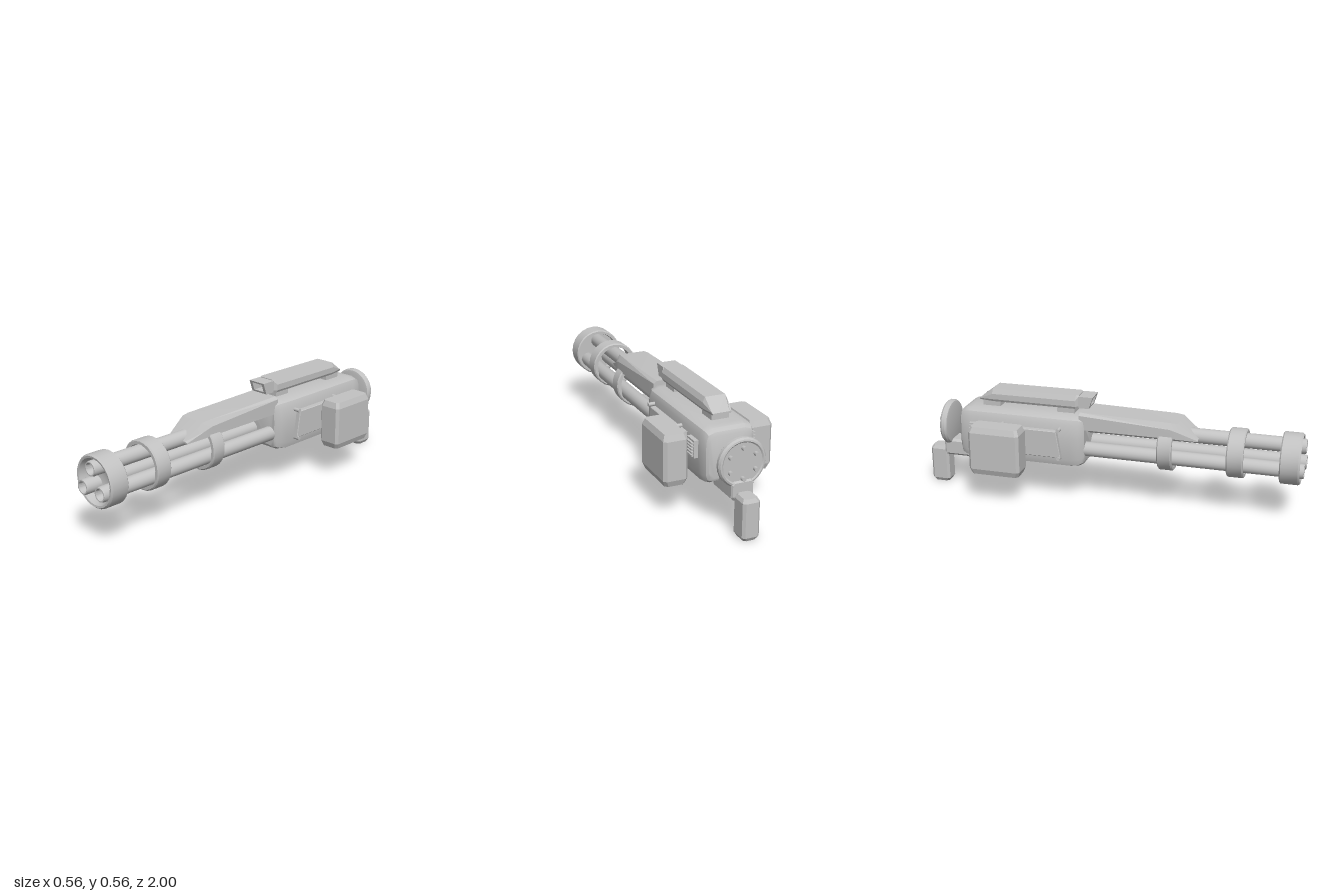
import * as THREE from 'three';
import { toCreasedNormals } from 'three/addons/utils/BufferGeometryUtils.js';

const steel = new THREE.MeshStandardMaterial({ color: 0xc2c2c2 });
steel.name = 'grey steel';

export function createModel() {
  const model = new THREE.Group();
  model.name = 'rotaryCannon';

  const add = (name, geo, x = 0, y = 0, z = 0) => {
    const m = new THREE.Mesh(geo, steel);
    m.name = name;
    m.position.set(x, y, z);
    model.add(m);
    return m;
  };

  // Skin between counter-clockwise sections [z, [[x, y], ...]] in rising z
  const loft = (sections, crease = 0.3) => {
    const pos = [];
    const rings = sections.map(([z, pts]) => pts.map(([x, y]) => [x, y, z]));
    const tri = (a, b, c) => pos.push(...a, ...b, ...c);
    const n = rings[0].length;
    for (let i = 0; i < rings.length - 1; i++) {
      const b = rings[i], f = rings[i + 1];
      for (let j = 0; j < n; j++) {
        const k = (j + 1) % n;
        tri(b[j], b[k], f[k]);
        tri(b[j], f[k], f[j]);
      }
    }
    const first = rings[0], last = rings[rings.length - 1];
    for (let j = 1; j < n - 1; j++) {
      tri(last[0], last[j], last[j + 1]);
      tri(first[0], first[j + 1], first[j]);
    }
    const g = new THREE.BufferGeometry();
    g.setAttribute('position', new THREE.Float32BufferAttribute(pos, 3));
    return toCreasedNormals(g, crease);
  };

  // Rectangle with cut corners; w and h are half sizes
  const octagon = (w, h, c, y = 0) => [
    [w, y - h + c], [w, y + h - c], [w - c, y + h], [-w + c, y + h],
    [-w, y + h - c], [-w, y - h + c], [-w + c, y - h], [w - c, y - h],
  ];
  const mirrored = (half) => [...half, ...half.slice().reverse().map(([x, y]) => [-x, y])];

  // Upright block with bevelled edges and tapered ends
  const bevelBlock = (w, height, d, c, end, inset) => loft([
    [0, octagon(w - inset, d - inset, c)], [end, octagon(w, d, c)],
    [height - end, octagon(w, d, c)], [height, octagon(w - inset, d - inset, c)],
  ]).rotateX(-Math.PI / 2);

  // Turned part along z from [radius, z] points
  const turned = (pts, seg = 24) => toCreasedNormals(
    new THREE.LatheGeometry(pts.map(([r, z]) => new THREE.Vector2(r, z)), seg).rotateX(Math.PI / 2), 0.6);

  // Three hollow barrels
  const axisY = 0.327;
  for (let i = 0; i < 3; i++) {
    const a = Math.PI / 2 + (i * Math.PI * 2) / 3;
    add('barrel', turned([[0.038, -0.2], [0.038, 0.99], [0.035, 1], [0.029, 1],
      [0.026, 0.99], [0.026, 0.85], [0, 0.85]], 20),
    Math.cos(a) * 0.072, axisY - 0.003 + Math.sin(a) * 0.072, 0);
  }

  // Dished muzzle ring and two open clamp rings
  add('muzzleRing', turned([[0, 0.9], [0.108, 0.9], [0.112, 0.882], [0.125, 0.882], [0.131, 0.888],
    [0.131, 0.973], [0.124, 0.982], [0.114, 0.98], [0.106, 0.968], [0.09, 0.935], [0.06, 0.918], [0, 0.912]]),
  0, axisY, 0);
  for (const [z0, z1] of [[0.62, 0.705], [0.27, 0.345]]) {
    add('clampRing', turned([[0.104, z0], [0.12, z0], [0.126, z0 + 0.006], [0.126, z1 - 0.006],
      [0.12, z1], [0.104, z1], [0.104, z0]]), 0, axisY, 0);
  }

  // Receiver body with rounded ends
  const half = [[0.095, 0.197], [0.122, 0.208], [0.132, 0.24], [0.135, 0.36], [0.13, 0.43], [0.12, 0.455], [0.085, 0.468]];
  const bodySection = (sx, sy) => mirrored(half.map(([x, y]) => [x * sx, 0.332 + (y - 0.332) * sy]));
  add('receiver', loft([
    [-0.785, bodySection(0.82, 0.76)], [-0.777, bodySection(0.9, 0.88)], [-0.755, bodySection(0.95, 0.97)],
    [-0.72, bodySection(0.98, 1)], [-0.18, bodySection(1, 1)], [-0.14, bodySection(0.9, 0.97)],
    [-0.12, bodySection(0.8, 0.9)], [-0.112, bodySection(0.72, 0.8)],
  ], 0.5));

  // Long cover sloping down onto the barrels
  const coverSection = (w, low, top, c) => mirrored([[w, low], [w, top - c], [w - 0.018, top]]);
  add('barrelCover', loft([
    [-0.14, coverSection(0.095, 0.4, 0.488, 0.013)], [0.33, coverSection(0.095, 0.4, 0.478, 0.03)],
    [0.37, coverSection(0.09, 0.397, 0.474, 0.04)], [0.47, coverSection(0.07, 0.388, 0.396, 0.004)],
  ]));

  // Carrying rail with its feet and sight frame
  const railSection = (w, low, top, c) => mirrored([[w - 0.006, low], [w, low + 0.012], [w, top - c], [w - 0.012, top]]);
  add('topRail', loft([
    [-0.695, railSection(0.05, 0.497, 0.506, 0.001)], [-0.62, railSection(0.063, 0.497, 0.563, 0.025)],
    [-0.17, railSection(0.063, 0.497, 0.565, 0.025)], [-0.155, railSection(0.048, 0.497, 0.565, 0.006)],
  ]));
  const frame = new THREE.Shape([[-0.05, 0.5], [0.05, 0.5], [0.05, 0.561], [-0.05, 0.561]].map((p) => new THREE.Vector2(...p)));
  frame.holes.push(new THREE.Path([[-0.033, 0.51], [-0.033, 0.552], [0.033, 0.552], [0.033, 0.51]].map((p) => new THREE.Vector2(...p))));
  const frameGeo = new THREE.ExtrudeGeometry(frame, { depth: 0.06, bevelEnabled: false });
  // Lean the open end of the frame forward at the top
  const fp = frameGeo.attributes.position;
  for (let i = 0; i < fp.count; i++) {
    if (fp.getZ(i) > 0.03) fp.setZ(i, 0.055 + (fp.getY(i) - 0.5) * 0.35);
  }
  frameGeo.computeVertexNormals();
  add('sightFrame', frameGeo, 0, 0, -0.156);
  for (const z of [-0.225, -0.63]) add('railFoot', new THREE.BoxGeometry(0.09, 0.06, 0.095), 0, 0.478, z);

  // Parts repeated on both sides
  const panel = new THREE.Shape([[0.225, 0.262], [0.6, 0.262], [0.6, 0.398], [0.247, 0.398]].map((p) => new THREE.Vector2(...p)));
  for (const s of [1, -1]) {
    const side = s > 0 ? 'left' : 'right';
    add(side + 'Magazine', bevelBlock(0.061, 0.255, 0.136, 0.014, 0.03, 0.011), s * 0.217, 0.17, -0.541);

    const plate = new THREE.ExtrudeGeometry(panel, {
      depth: 0.026, bevelEnabled: true, bevelSize: 0.003, bevelThickness: 0.003, bevelSegments: 1,
    }).rotateY(Math.PI / 2);
    add(side + 'SidePanel', plate, s > 0 ? 0.13 : -0.156, 0, 0);

    // Vent with slats
    add(side + 'Vent', new THREE.BoxGeometry(0.03, 0.085, 0.075), s * 0.137, 0.358, -0.682);
    for (let i = 0; i < 5; i++) {
      add(side + 'VentSlat', new THREE.BoxGeometry(0.014, 0.008, 0.07), s * 0.156, 0.328 + i * 0.015, -0.682);
    }

    // Bolts and magazine pins
    for (const [y, z] of [[0.408, -0.232], [0.255, -0.232], [0.408, -0.54], [0.25, -0.54]]) {
      add(side + 'Bolt', new THREE.CylinderGeometry(0.01, 0.01, 0.05, 12).rotateZ(Math.PI / 2), s * 0.14, y, z);
    }
  }

  // Rear bracket, bolted disc and grip
  add('rearBracket', loft([
    [-0.91, octagon(0.05, 0.037, 0.01, 0.213)], [-0.9, octagon(0.056, 0.046, 0.012, 0.211)],
    [-0.735, octagon(0.056, 0.046, 0.012, 0.211)], [-0.705, octagon(0.053, 0.024, 0.01, 0.231)],
  ]));
  add('rearDisc', turned([[0, -0.9], [0.098, -0.9], [0.104, -0.905], [0.112, -0.903], [0.119, -0.893],
    [0.119, -0.878], [0.112, -0.868], [0.1, -0.865], [0, -0.865]], 28), 0, 0.34, 0);
  for (let i = 0; i < 6; i++) {
    const a = (i * Math.PI) / 3 + Math.PI / 6;
    add('discBolt', new THREE.CylinderGeometry(0.011, 0.011, 0.03, 10).rotateX(Math.PI / 2),
      Math.cos(a) * 0.073, 0.34 + Math.sin(a) * 0.073, -0.904);
  }
  add('grip', bevelBlock(0.043, 0.205, 0.05, 0.012, 0.018, 0.01), 0, 0, -0.95);

  return model;
}
